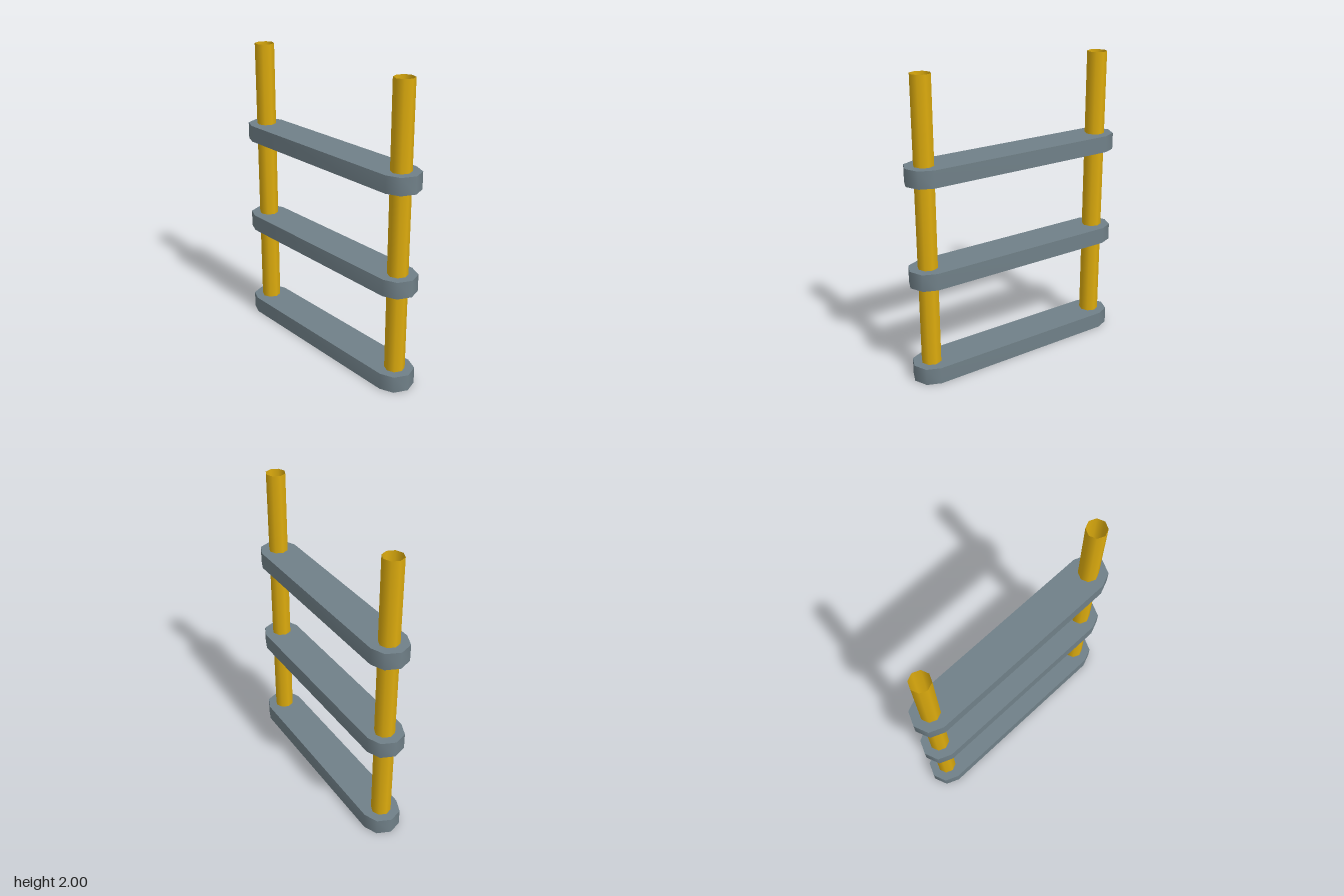
import * as THREE from 'three';
import { toCreasedNormals } from 'three/addons/utils/BufferGeometryUtils.js';

const LEVELS = 3;
const PITCH = 2 / LEVELS;   // one plank plus one post section
const PLANK_HEIGHT = 0.112;
const POST_X = 0.664;
const POST_RADIUS = 0.066;
const END_RADIUS = 0.127;

// Horizontal plank with rounded, four-sided ends
function plankGeometry() {
  const points = [];
  for (const side of [1, -1]) {
    for (let i = 0; i <= 4; i++) {
      const a = -Math.PI / 2 + (i * Math.PI) / 4;
      points.push(new THREE.Vector2(
        side * (POST_X + END_RADIUS * Math.cos(a)),
        side * END_RADIUS * Math.sin(a)));
    }
  }
  const geometry = new THREE.ExtrudeGeometry(new THREE.Shape(points), {
    depth: PLANK_HEIGHT, bevelEnabled: false,
  });
  geometry.rotateX(-Math.PI / 2);
  return toCreasedNormals(geometry, Math.PI / 3.5);
}

export function createModel() {
  const model = new THREE.Group();
  model.name = 'ladder';

  const grey = new THREE.MeshStandardMaterial({ color: 0x708088 });
  grey.name = 'slate grey';
  const yellow = new THREE.MeshStandardMaterial({ color: 0xdcab0e, side: THREE.DoubleSide });
  yellow.name = 'golden yellow';

  const plankShape = plankGeometry();
  const postHeight = PITCH - PLANK_HEIGHT;
  const postShape = new THREE.CylinderGeometry(POST_RADIUS, POST_RADIUS, postHeight, 8, 1, true);

  for (let level = 0; level < LEVELS; level++) {
    const y = level * PITCH;
    const plank = new THREE.Mesh(plankShape, grey);
    plank.name = 'plank' + (level + 1);
    plank.position.y = y;
    model.add(plank);

    // Hollow post section standing on each end of the plank
    for (const side of [1, -1]) {
      const post = new THREE.Mesh(postShape, yellow);
      post.name = (side > 0 ? 'leftPost' : 'rightPost') + (level + 1);
      post.position.set(side * POST_X, y + PLANK_HEIGHT + postHeight / 2, 0);
      model.add(post);
    }
  }
  return model;
}
